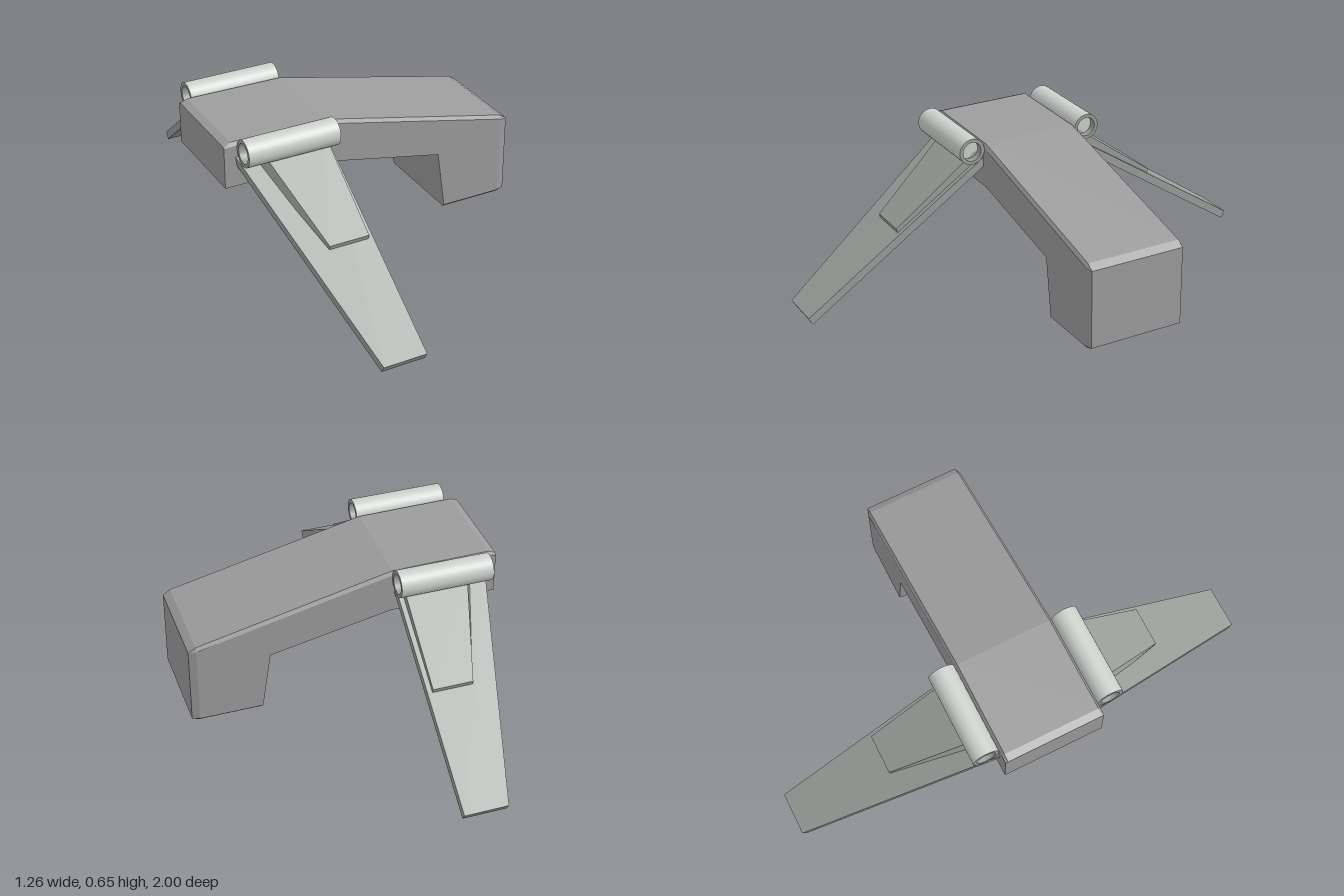
import * as THREE from 'three';

const paint = (color) => new THREE.MeshStandardMaterial({ color, side: THREE.DoubleSide });
const hullGrey = paint(0x9b9c9b);
const wingGrey = paint(0x9a9f9a);
const podGrey = paint(0xccd1cc);

function add(parent, name, geometry, material) {
  const mesh = new THREE.Mesh(geometry, material);
  mesh.name = name;
  parent.add(mesh);
}

// Bent hull: a side profile swept across z, with a smaller profile on each side as a chamfer
function hullGeometry() {
  const outer = [[-0.63, 0.43], [-0.63, 0.605], [-0.6, 0.617], [-0.2, 0.613], [0.6, 0.43], [0.63, 0.41],
    [0.63, 0.083], [0.6, 0.073], [0.34, 0.073], [0.305, 0.328], [-0.19, 0.43]];
  const inner = [[-0.63, 0.43], [-0.63, 0.6], [-0.6, 0.602], [-0.2, 0.598], [0.59, 0.418], [0.6, 0.414],
    [0.6, 0.085], [0.59, 0.083], [0.34, 0.083], [0.305, 0.328], [-0.19, 0.43]];
  const rings = [[inner, -0.21], [outer, -0.2], [outer, 0.2], [inner, 0.21]];
  const n = outer.length, positions = [], index = [];
  for (const [ring, z] of rings) for (const [x, y] of ring) positions.push(x, y, z);
  for (let r = 0; r < 3; r++) {
    for (let i = 0; i < n; i++) {
      const a = r * n + i, b = r * n + (i + 1) % n;
      index.push(a, a + n, b, b, a + n, b + n);
    }
  }
  // Flat side caps, each triangle turned to face outwards
  const points = inner.map(([x, y]) => new THREE.Vector2(x, y));
  for (const [a, b, c] of THREE.ShapeUtils.triangulateShape(points, [])) {
    const ab = points[b].clone().sub(points[a]), ac = points[c].clone().sub(points[a]);
    const [p, q] = ab.cross(ac) > 0 ? [b, c] : [c, b];
    index.push(3 * n + a, 3 * n + p, 3 * n + q, a, q, p);
  }
  let geometry = new THREE.BufferGeometry();
  geometry.setAttribute('position', new THREE.Float32BufferAttribute(positions, 3));
  geometry.setIndex(index);
  geometry = geometry.toNonIndexed();
  geometry.computeVertexNormals();
  return geometry;
}

// Tapered plate: each end gives z, top and bottom heights, x range, and bottom z shift and flare
function plateGeometry(side, root, tip) {
  const geometry = new THREE.BoxGeometry(1, 1, 1).toNonIndexed();
  const p = geometry.attributes.position;
  for (let i = 0; i < p.count; i++) {
    const end = p.getZ(i) * side > 0 ? tip : root;
    const top = p.getY(i) > 0;
    const x = p.getX(i) > 0 ? end.x[1] : end.x[0] - (top ? 0 : end.flare);
    p.setXYZ(i, x, top ? end.top : end.bottom, side * (end.z - (top ? 0 : end.shift)));
  }
  geometry.computeVertexNormals();
  return geometry;
}

// Hollow-ended barrel along x; each band is a separate lathe to keep its edges sharp
function barrel(side) {
  const group = new THREE.Group();
  group.name = 'enginePod';
  const R = 0.055, r = 0.04, h = 0.191, d = 0.16;
  const bands = [
    ['podShell', podGrey, [R, -h], [R, h]],
    ['podRimFront', wingGrey, [R, h], [r, h]],
    ['podBoreFront', wingGrey, [r, h], [r, d]],
    ['podCapFront', podGrey, [r, d], [0, d]],
    ['podRimBack', wingGrey, [r, -h], [R, -h]],
    ['podBoreBack', wingGrey, [r, -d], [r, -h]],
    ['podCapBack', podGrey, [0, -d], [r, -d]],
  ];
  for (const [name, material, ...band] of bands) {
    add(group, name, new THREE.LatheGeometry(band.map(([x, y]) => new THREE.Vector2(x, y)), 32), material);
  }
  group.rotation.z = -Math.PI / 2;
  group.position.set(-0.386, 0.593, side * 0.265);
  return group;
}

export function createModel() {
  const model = new THREE.Group();
  model.name = 'craft';
  add(model, 'hull', hullGeometry(), hullGrey);

  for (const side of [1, -1]) {
    const half = new THREE.Group();
    half.name = side > 0 ? 'frontWingAssembly' : 'backWingAssembly';
    // Long drooping wing
    add(half, 'wing', plateGeometry(side,
      { z: 0.205, top: 0.558, bottom: 0.529, x: [-0.585, -0.205], shift: 0.017, flare: 0 },
      { z: 1, top: 0.029, bottom: 0, x: [-0.385, -0.205], shift: 0.017, flare: 0 }), wingGrey);
    // Short raised panel on top of the wing, thicker towards the pod
    add(half, 'wingPanel', plateGeometry(side,
      { z: 0.235, top: 0.582, bottom: 0.518, x: [-0.497, -0.225], shift: 0.01, flare: 0.025 },
      { z: 0.597, top: 0.318, bottom: 0.3, x: [-0.39, -0.225], shift: 0.005, flare: 0 }), wingGrey);
    half.add(barrel(side));
    model.add(half);
  }
  return model;
}
